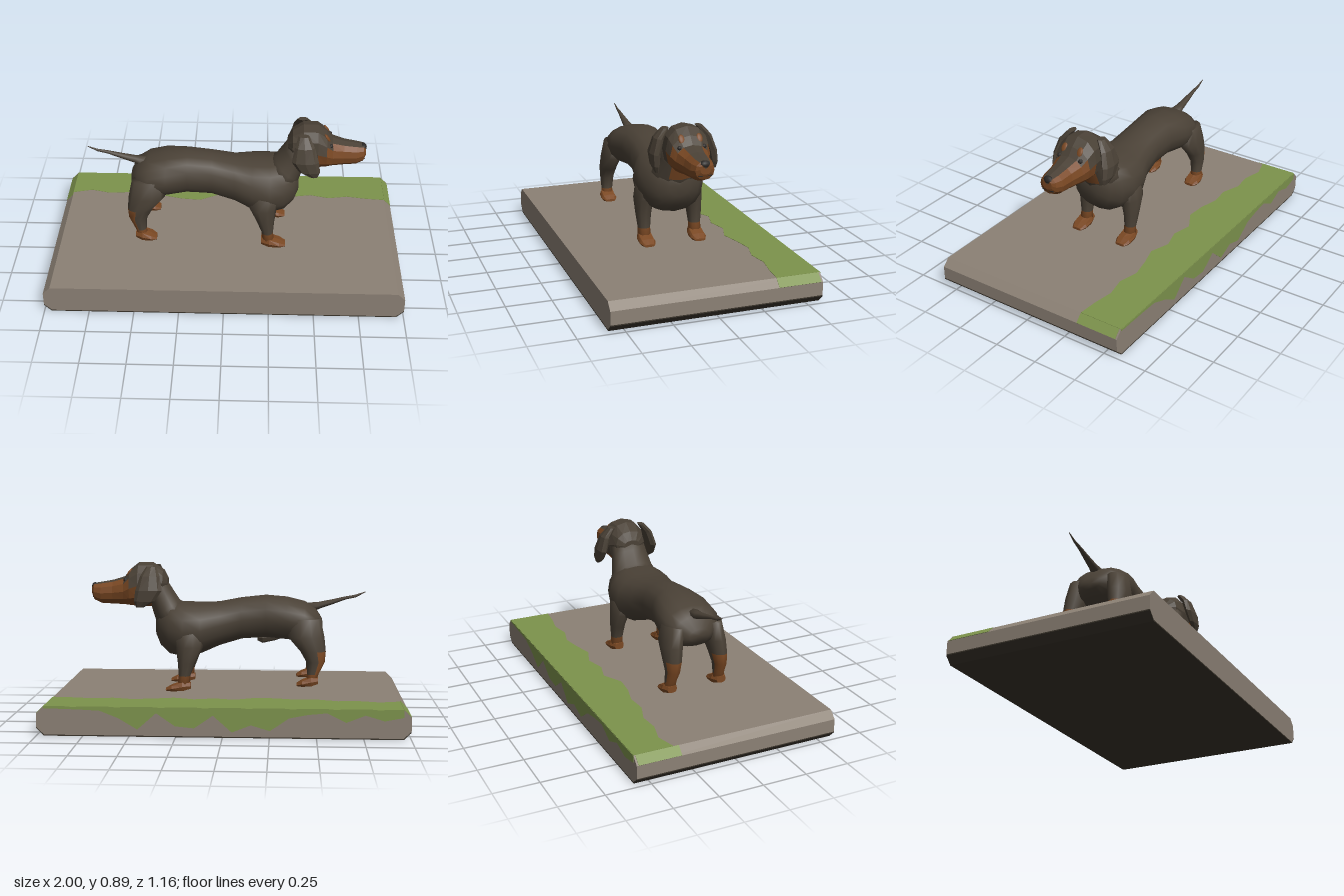
import * as THREE from 'three';

const mat = (name, color) => {
  const m = new THREE.MeshStandardMaterial({ color });
  m.name = name;
  return m;
};

export function createModel() {
  const coat = mat('dark brown coat', 0x4a4136);
  const tan = mat('tan markings', 0x7a4823);
  const noseBlack = mat('nose black', 0x2b2826);
  const stone = mat('stone', 0x8c8175);
  const grass = mat('grass', 0x7d934c);
  const soil = mat('dark underside', 0x3a342b);

  const model = new THREE.Group();
  model.name = 'dogOnSlab';
  const dog = new THREE.Group();
  dog.name = 'dog';
  const slab = new THREE.Group();
  slab.name = 'slab';
  model.add(dog, slab);

  const add = (parent, name, geo, material) => {
    const m = new THREE.Mesh(geo, material);
    m.name = name;
    parent.add(m);
    return m;
  };

  // Loft through rings [x, y, z, halfHeight, halfWidth, tiltDegrees].
  // pick(ring, segment) returns true where the surface is tan.
  function loft(name, rings, { n = 12, flat = false, pick = () => false, fill = 1 } = {}) {
    const pos = [], sets = [[], []];
    const bend = v => Math.sign(v) * Math.abs(v) ** fill;
    for (const [x, y, z, hu, hw, tilt = 0] of rings) {
      const t = tilt * Math.PI / 180;
      for (let j = 0; j < n; j++) {
        const a = j / n * Math.PI * 2, u = hu * bend(Math.cos(a)), w = hw * bend(Math.sin(a));
        pos.push(x - Math.sin(t) * u, y + Math.cos(t) * u, z + w);
      }
    }
    const last = rings.length - 1, c0 = rings.length * n;
    pos.push(...rings[0].slice(0, 3), ...rings[last].slice(0, 3));
    for (let j = 0; j < n; j++) {
      const k = (j + 1) % n;
      for (let i = 0; i < last; i++) {
        const a = i * n, b = a + n;
        sets[pick(i, j) ? 1 : 0].push(a + j, a + k, b + k, a + j, b + k, b + j);
      }
      sets[pick(0, j) ? 1 : 0].push(c0, k, j);
      sets[pick(last - 1, j) ? 1 : 0].push(c0 + 1, last * n + j, last * n + k);
    }
    let geo = new THREE.BufferGeometry();
    geo.setAttribute('position', new THREE.Float32BufferAttribute(pos, 3));
    geo.setIndex([...sets[0], ...sets[1]]);
    geo.addGroup(0, sets[0].length, 0);
    geo.addGroup(sets[0].length, sets[1].length, 1);
    if (flat) geo = geo.toNonIndexed();
    geo.computeVertexNormals();
    return add(dog, name, geo, [coat, tan]);
  }
  // Ring along x given by its bottom, top and half width.
  const span = (z = 0, dx = 0) => ([x, yb, yt, hw]) => [x + dx, (yb + yt) / 2, z, (yt - yb) / 2, hw, 0];
  const down = s => ([x, y, z, hu, hw]) => [x, y, z * s, hu, hw, -90];

  // Long body
  loft('torso', [
    [-.54, .5, .57, .06], [-.5, .46, .635, .13], [-.44, .44, .67, .165], [-.34, .45, .695, .165],
    [-.22, .46, .705, .135], [-.08, .45, .69, .13], [.05, .41, .665, .145], [.15, .365, .663, .185],
    [.25, .345, .665, .19], [.33, .36, .67, .165], [.385, .41, .64, .12], [.412, .47, .59, .06],
  ].map(span()), { n: 16, fill: .9 });
  loft('bellyTuft', [[-.33, .46, .49, .01], [-.27, .44, .5, .025], [-.2, .425, .49, .028], [-.17, .44, .47, .01]]
    .map(span()), { n: 8, flat: true });

  // Neck with a tan throat patch
  loft('neck', [
    [.29, .545, 0, .12, .16, 45], [.35, .62, 0, .09, .13, 52],
    [.387, .7, 0, .077, .112, 52], [.43, .78, 0, .07, .1, 48],
  ], { pick: (i, j) => (j === 5 || j === 6) && i > 0 });

  // Head: tan cheeks, chin and muzzle with a dark bridge
  loft('head', [
    [.345, .74, .8, .05], [.37, .7, .85, .09], [.43, .635, .89, .112], [.51, .635, .89, .12],
    [.56, .64, .85, .112], [.595, .645, .807, .094], [.66, .648, .787, .075],
    [.73, .652, .775, .066], [.77, .67, .768, .052], [.783, .7, .755, .03],
  ].map(span()), {
    flat: true, fill: .9,
    pick: (i, j) => i >= 5 ? j > 0 && j < 11 : i >= 3 ? j > 1 + (i === 3) && j < 10 - (i === 3) : i === 2 && j > 3 && j < 8,
  });
  const nose = add(dog, 'nose', new THREE.IcosahedronGeometry(1, 1), noseBlack);
  nose.scale.set(.02, .022, .03);
  nose.position.set(.768, .75, 0);
  const mouth = add(dog, 'mouth', new THREE.BoxGeometry(.008, .006, .07), noseBlack);
  mouth.position.set(.774, .692, 0);

  for (const s of [1, -1]) {
    const side = s > 0 ? 'Left' : 'Right';
    // Eyes and tan brow spots
    const eye = add(dog, 'eye' + side, new THREE.IcosahedronGeometry(.013, 1), noseBlack);
    eye.position.set(.582, .792, s * .068);
    const brow = add(dog, 'brow' + side, new THREE.IcosahedronGeometry(1, 1), tan);
    brow.scale.set(.008, .028, .018);
    brow.position.set(.562, .833, s * .05);
    brow.rotation.z = .6;

    // Drooping ears
    loft('ear' + side, [
      [.43, .87, .095, .03, .02], [.435, .82, .135, .055, .026], [.44, .74, .16, .075, .026],
      [.465, .68, .165, .058, .02], [.49, .645, .163, .02, .008],
    ].map(down(s)), { n: 8, flat: true });

    // Front legs
    loft('frontLeg' + side, [
      [.22, .52, .125, .1, .06], [.212, .42, .143, .078, .055], [.228, .33, .15, .05, .043],
      [.24, .255, .15, .033, .035], [.247, .19, .15, .035, .037],
    ].map(down(s)), { n: 10, pick: i => i > 2 });

    // Hind legs, tan down the back
    loft('hindLeg' + side, [
      [-.44, .58, .115, .09, .055], [-.448, .48, .13, .103, .058], [-.487, .4, .138, .072, .05],
      [-.502, .34, .142, .052, .04], [-.487, .27, .147, .032, .033], [-.475, .22, .15, .03, .036],
    ].map(down(s)), { n: 10, pick: (i, j) => i > 3 || (i > 1 && j > 2 && j < 7) });

    // Paws
    const paw = [[.205, .18, .22, .028], [.25, .166, .228, .045], [.31, .166, .205, .046], [.345, .17, .185, .03]];
    loft('frontPaw' + side, paw.map(span(s * .15)), { n: 8, flat: true, fill: .7, pick: () => true });
    loft('hindPaw' + side, paw.map(([x, b, t, w]) => [x * .85, b + .034, t + .034, w]).map(span(s * .15, -.69)),
      { n: 8, flat: true, fill: .7, pick: () => true });
  }

  // Tail
  loft('tail', [
    [-.45, .625, 0, .035, .04, 180], [-.52, .645, 0, .02, .026, 165], [-.6, .667, 0, .014, .018, 165],
    [-.67, .688, 0, .009, .011, 165], [-.73, .7, 0, .008, .006, 160], [-.785, .724, 0, .002, .002, 155],
  ], { n: 8 });

  // Slab with bevelled ends and a dark underside
  const shape = pts => new THREE.Shape(pts.map(p => new THREE.Vector2(...p)));
  const extrude = (pts, depth) => new THREE.ExtrudeGeometry(shape(pts), { depth, bevelEnabled: false });
  add(slab, 'slabBody', extrude([[-1, .046], [-.958, .006], [.958, .006], [1, .046], [1, .12], [.96, .16],
    [-.96, .16], [-1, .12]], 1.16).translate(0, 0, -.58), stone);
  add(slab, 'slabUnderside', extrude([[-1, .04], [-.96, 0], [.96, 0], [1, .04], [1, .046], [.958, .006],
    [-.958, .006], [-1, .046]], 1.16).translate(0, 0, -.58), soil);

  // Grass strip along the back with a ragged edge
  const edge = [.36, .39, .36, .37, .33, .34, .31, .3, .36, .33, .36, .32, .35, .37, .34, .36, .34, .33];
  const row = edge.map((z, i) => [-.96 + 1.92 * i / (edge.length - 1), z]);
  add(slab, 'grassTop', extrude([...row, [.96, .58], [-.96, .58]], .003)
    .rotateX(-Math.PI / 2).translate(0, .159, 0), grass);
  for (const s of [1, -1]) {
    const strip = add(slab, 'grassBevel', new THREE.BoxGeometry(.0566, .004, .24), grass);
    strip.position.set(s * .98, .14, -.45);
    strip.rotation.z = -s * Math.PI / 4;
  }

  // Grass hanging over the back face
  const hang = [.04, .06, .03, .07, .02, .03, .05, .12, .09, .13, .04, .11, .1, .03, .12, .06, .02, .015, .012, .01];
  const drops = hang.map((d, i) => [-.96 + 1.92 * i / (hang.length - 1), .16 - d]);
  add(slab, 'grassBack', extrude([...drops, [.96, .16], [-.96, .16]], .003).translate(0, 0, -.582), grass);

  return model;
}
